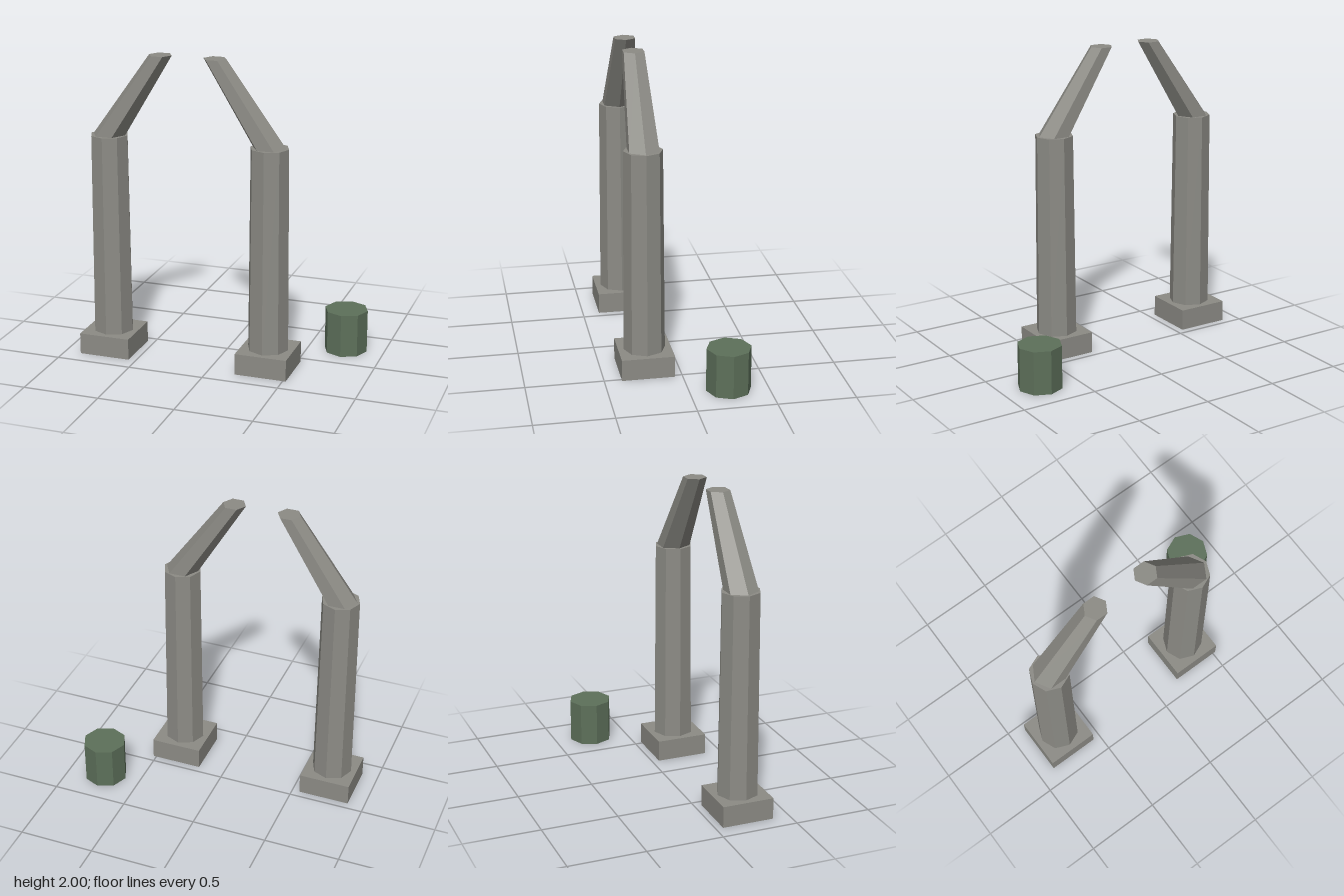
import * as THREE from 'three';

const stone = new THREE.MeshStandardMaterial({ color: 0x8c8b85 });
stone.name = 'weathered stone';
const green = new THREE.MeshStandardMaterial({ color: 0x5d705a });
green.name = 'dull green';

// Faceted cylinder with its base at y = 0
function prism(rTop, rBottom, height, sides, start = 0) {
  const g = new THREE.CylinderGeometry(rTop, rBottom, height, sides, 1, false, start);
  g.translate(0, height / 2, 0);
  return g;
}

function part(name, geometry, material, x, y, z) {
  const flat = geometry.index ? geometry.toNonIndexed() : geometry;
  flat.computeVertexNormals();
  const mesh = new THREE.Mesh(flat, material);
  mesh.name = name;
  mesh.position.set(x, y, z);
  return mesh;
}

// One half of the broken arch; lean is the direction of its arm along x
function createPillar(name, lean) {
  const pillar = new THREE.Group();
  pillar.name = name;
  pillar.add(part('plinth', new THREE.BoxGeometry(0.34, 0.14, 0.34), stone, 0, 0.07, 0));
  pillar.add(part('column', prism(0.124, 0.134, 1.325, 8), stone, 0, 0.14, 0));

  // Hexagonal arm sheared inward, so both ends stay level
  const height = 0.535;
  const arm = prism(0.075, 0.108, height, 6, Math.PI / 2);
  const p = arm.attributes.position;
  for (let i = 0; i < p.count; i++) {
    p.setX(i, p.getX(i) + lean * 0.356 * p.getY(i) / height);
  }
  pillar.add(part('archArm', arm, stone, 0, 1.465, 0));
  return pillar;
}

export function createModel() {
  const model = new THREE.Group();
  model.name = 'brokenArch';

  const right = createPillar('rightPillar', 1);
  right.position.set(-0.72, 0, 0.218);
  const left = createPillar('leftPillar', -1);
  left.position.set(0.35, 0, 0.218);
  model.add(right, left);

  // Separate octagonal drum behind the arch
  model.add(part('drum', prism(0.143, 0.143, 0.286, 8), green, 0.745, 0, -0.248));
  return model;
}
